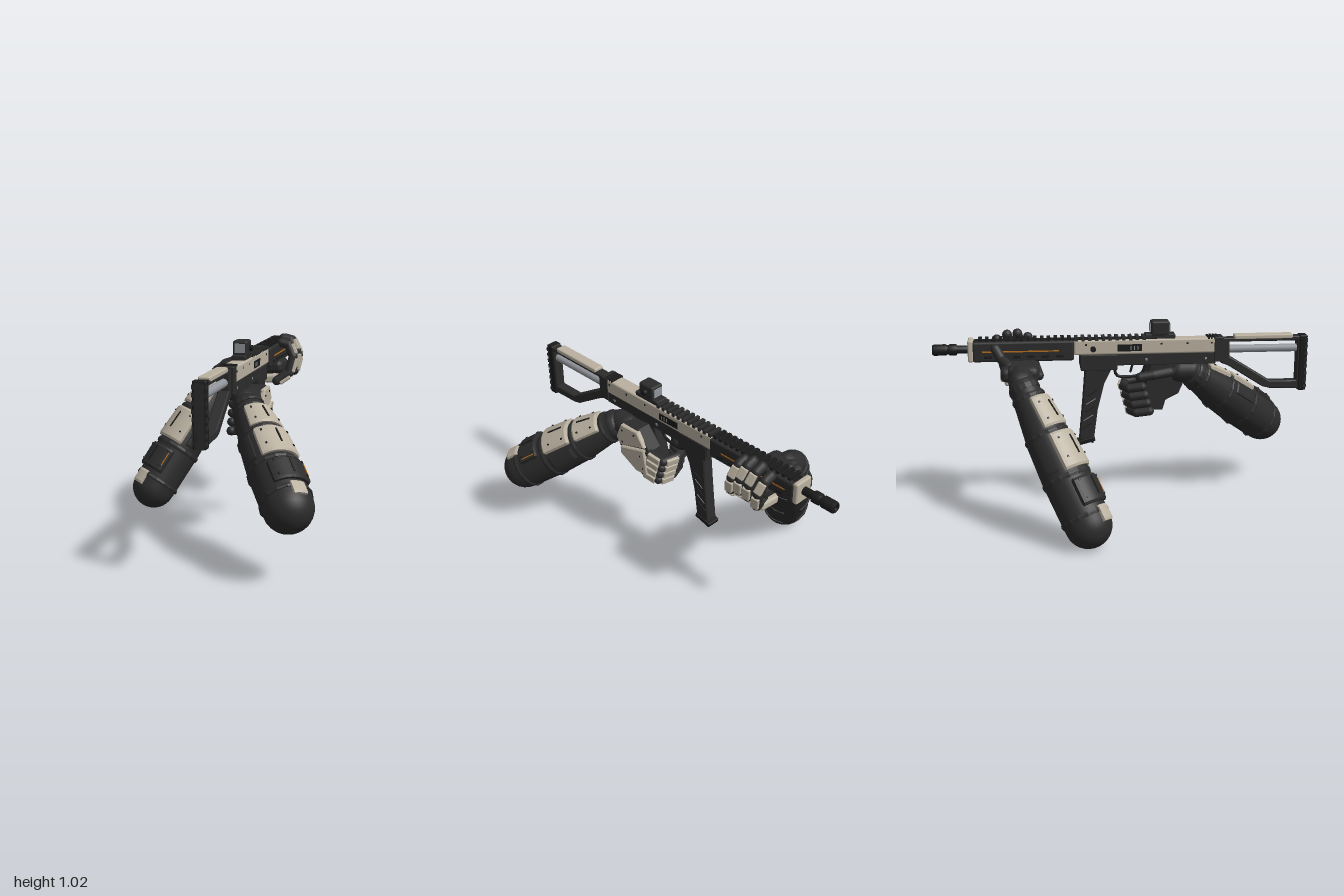
import * as THREE from 'three';
import { RoundedBoxGeometry } from 'three/addons/geometries/RoundedBoxGeometry.js';

const mat = (name, color, side = THREE.FrontSide) => {
  const m = new THREE.MeshStandardMaterial({ color, side });
  m.name = name;
  return m;
};
const V = (x, y, z) => new THREE.Vector3(x, y, z);

export function createModel() {
  const dark = mat('charcoal', 0x2c2c2c);
  const black = mat('black', 0x1b1b1b);
  const bone = mat('bone', 0xbab1a0);
  const steel = mat('steel', 0x92959b);
  const orange = mat('orange', 0xb8701c);
  const shell = mat('charcoal shell', 0x2c2c2c, THREE.DoubleSide);
  const root = new THREE.Group();
  root.name = 'armsWithWeapon';

  const add = (parent, name, geo, m, p) => {
    const mesh = new THREE.Mesh(geo, m);
    mesh.name = name;
    if (p) mesh.position.set(...p);
    parent.add(mesh);
    return mesh;
  };
  const box = (parent, name, m, size, p, r = 0) =>
    add(parent, name, r ? new RoundedBoxGeometry(...size, 2, r) : new THREE.BoxGeometry(...size), m, p);
  // box given by its ranges along z and y, centred on x
  const span = (parent, name, m, w, z0, z1, y0, y1, r = 0.005, x = 0) =>
    box(parent, name, m, [w, y1 - y0, z1 - z0], [x, (y0 + y1) / 2, (z0 + z1) / 2], r);
  // side outline in (z, y), extruded across x
  const outline = (parent, name, m, pts, w, x = 0, holes = []) => {
    const s = new THREE.Shape(pts.map((p) => new THREE.Vector2(...p)));
    for (const h of holes) s.holes.push(new THREE.Path(h.map((p) => new THREE.Vector2(...p))));
    const b = 0.005;
    const g = new THREE.ExtrudeGeometry(s, { depth: w - 2 * b, bevelSize: b, bevelOffset: -b, bevelThickness: b, bevelSegments: 1 });
    g.rotateY(-Math.PI / 2).translate(w / 2 - b, 0, 0);
    return add(parent, name, g, m, [x, 0, 0]);
  };
  // turns local Y along the axis and local Z towards the outward direction
  const aim = (obj, axis, out) => {
    const y = axis.clone().normalize();
    const z = out.clone().addScaledVector(y, -out.dot(y)).normalize();
    obj.quaternion.setFromRotationMatrix(new THREE.Matrix4().makeBasis(y.clone().cross(z), y, z));
    return obj;
  };

  // ---------- weapon ----------
  const gun = new THREE.Group();
  gun.name = 'weapon';
  gun.position.x = 0.122;
  root.add(gun);

  outline(gun, 'stockFrame', dark,
    [[1, 0.63], [1, 0.925], [0.95, 0.93], [0.53, 0.925], [0.53, 0.79], [0.57, 0.775], [0.76, 0.655], [0.8, 0.645], [0.945, 0.64]], 0.056, 0,
    [[[0.945, 0.905], [0.945, 0.685], [0.8, 0.685], [0.575, 0.825], [0.575, 0.905]]]);
  span(gun, 'buttPad', black, 0.066, 0.955, 1, 0.63, 0.935, 0.008);
  for (let i = 0; i < 8; i++) span(gun, 'buttRib', dark, 0.07, 0.985, 1, 0.645 + i * 0.036, 0.665 + i * 0.036, 0);
  span(gun, 'cheekRest', bone, 0.058, 0.6, 0.92, 0.915, 0.942, 0.008);
  add(gun, 'stockTube', new THREE.CylinderGeometry(0.021, 0.021, 0.4, 20).rotateX(Math.PI / 2), steel, [0, 0.862, 0.76]);
  span(gun, 'stockHinge', dark, 0.084, 0.49, 0.54, 0.8, 0.935);

  span(gun, 'receiver', bone, 0.08, -0.26, 0.515, 0.85, 0.93, 0.01);
  span(gun, 'lowerReceiver', dark, 0.072, -0.23, 0.5, 0.79, 0.855);
  span(gun, 'magazineWell', dark, 0.078, -0.225, -0.03, 0.765, 0.85);
  span(gun, 'railBase', black, 0.05, -0.78, 0.13, 0.925, 0.935, 0);
  for (let z = -0.76; z < 0.13; z += 0.036)
    span(gun, 'railRib', z < -0.26 ? black : dark, 0.076, z, z + 0.018, 0.925, 0.946, 0);
  for (let i = 0; i < 4; i++) span(gun, 'rearRib', black, 0.076, 0.455 + i * 0.016, 0.464 + i * 0.016, 0.925, 0.938, 0);
  for (const s of [-1, 1]) {
    span(gun, 'ejectionPort', black, 0.008, -0.03, 0.1, 0.868, 0.905, 0, s * 0.039);
    for (let i = 0; i < 3; i++) span(gun, 'portSlot', steel, 0.004, 0.04 + i * 0.018, 0.045 + i * 0.018, 0.876, 0.896, 0, s * 0.043);
    for (const z of [-0.2, 0.2, 0.34, 0.47]) span(gun, 'receiverPin', black, 0.005, z, z + 0.01, 0.9, 0.91, 0, s * 0.039);
    for (const z of [-0.18, 0.12, 0.44]) span(gun, 'framePin', steel, 0.005, z, z + 0.012, 0.815, 0.827, 0, s * 0.036);
    span(gun, 'handguardStripe', orange, 0.005, -0.74, -0.34, 0.877, 0.884, 0, s * 0.0525);
    for (let i = 0; i < 6; i++) span(gun, 'handguardVent', black, 0.006, -0.73 + i * 0.075, -0.69 + i * 0.075, 0.845, 0.858, 0, s * 0.0525);
  }
  span(gun, 'handguard', dark, 0.106, -0.79, -0.26, 0.825, 0.932, 0.012);
  span(gun, 'handguardCap', bone, 0.104, -0.815, -0.786, 0.825, 0.942, 0.01);
  const barrel = [[0, -0.8], [0.021, -0.8], [0.021, -0.87], [0.03, -0.875], [0.03, -0.91], [0.025, -0.915], [0.025, -0.925],
    [0.03, -0.93], [0.03, -0.99], [0.025, -1], [0.012, -1], [0.012, -0.96], [0, -0.96]].map(([r, z]) => new THREE.Vector2(r, -z));
  add(gun, 'barrel', new THREE.LatheGeometry(barrel, 20).rotateX(-Math.PI / 2), black, [0, 0.886, 0]);

  // sight, with lenses front and back
  span(gun, 'sightMount', dark, 0.07, 0.12, 0.28, 0.93, 0.955);
  span(gun, 'sightHousing', dark, 0.076, 0.15, 0.25, 0.945, 1.025, 0.012);
  for (const z of [0.148, 0.252]) box(gun, 'sightLens', steel, [0.054, 0.045, 0.005], [0, 0.988, z], 0);
  add(gun, 'sightKnob', new THREE.CylinderGeometry(0.014, 0.014, 0.02, 14).rotateZ(Math.PI / 2), black, [0.045, 0.985, 0.2]);
  add(gun, 'chargingHandle', new THREE.CylinderGeometry(0.009, 0.009, 0.04, 10).rotateZ(Math.PI / 2), black, [-0.052, 0.888, -0.16]);
  add(gun, 'chargingKnob', new THREE.CylinderGeometry(0.015, 0.015, 0.014, 12).rotateZ(Math.PI / 2), black, [-0.068, 0.888, -0.16]);

  outline(gun, 'pistolGrip', dark, [[0.15, 0.8], [0.29, 0.8], [0.27, 0.73], [0.215, 0.54], [0.09, 0.54], [0.13, 0.72]], 0.068);
  outline(gun, 'magazine', dark,
    [[-0.05, 0.79], [-0.2, 0.79], [-0.215, 0.6], [-0.235, 0.385], [-0.16, 0.36], [-0.135, 0.55], [-0.1, 0.69]], 0.064);
  const base = box(gun, 'magazineBase', black, [0.074, 0.025, 0.1], [0, 0.373, -0.2], 0.006);
  base.rotation.x = -0.25;
  for (const s of [-1, 1]) for (let i = 0; i < 5; i++) {
    const groove = box(gun, 'magazineGroove', i % 2 ? steel : black, [0.003, 0.004, 0.06], [s * 0.0325, 0.64 - i * 0.045, -0.165 - i * 0.007]);
    groove.rotation.x = -0.55;
  }
  const guard = new THREE.CatmullRomCurve3([V(0, 0.8, 0.13), V(0, 0.735, 0.1), V(0, 0.72, 0.03), V(0, 0.73, -0.03), V(0, 0.79, -0.045)]);
  add(gun, 'triggerGuard', new THREE.TubeGeometry(guard, 20, 0.008, 8), black);
  const trigger = box(gun, 'trigger', black, [0.014, 0.055, 0.012], [0, 0.77, 0.05], 0.004);
  trigger.rotation.x = 0.3;

  // ---------- forearms ----------
  const radii = [[0.08, 0.121], [0.35, 0.123], [0.6, 0.113], [0.85, 0.086], [1, 0.068]];
  const radiusAt = (t) => {
    if (t <= radii[0][0]) return radii[0][1];
    for (let i = 1; i < radii.length; i++) {
      const [a, ra] = radii[i - 1], [b, rb] = radii[i];
      if (t <= b) return ra + ((rb - ra) * (t - a)) / (b - a);
    }
    return 0.068;
  };
  const forearm = (name, elbow, wrist, out) => {
    const arm = aim(new THREE.Group(), wrist.clone().sub(elbow), out);
    arm.name = name;
    arm.position.copy(elbow);
    root.add(arm);
    const L = elbow.distanceTo(wrist);
    const pts = [];
    for (let i = 0; i <= 8; i++) {
      const a = (i / 8) * Math.PI / 2;
      pts.push(new THREE.Vector2(0.119 * Math.sin(a), -0.117 * Math.cos(a)));
    }
    for (let t = 0.05; t < 1.01; t += 0.05) pts.push(new THREE.Vector2(radiusAt(t), t * L));
    pts.push(new THREE.Vector2(0, L + 0.02));
    add(arm, 'sleeve', new THREE.LatheGeometry(pts, 40), dark);
    // curved plate whose rim sinks into the sleeve
    const plate = (label, m, t0, t1, arc, h, turn = 0) => {
      const p = [[t0, -0.012], [t0, h * 0.6], [t0 + 0.015, h], [t1 - 0.015, h], [t1, h * 0.6], [t1, -0.012]]
        .map(([t, d]) => new THREE.Vector2(radiusAt(t) + d, t * L));
      const g = new THREE.LatheGeometry(p, 16, turn - arc / 2, arc);
      const pos = g.attributes.position;
      for (let i = 0; i < pos.count; i++) {
        const col = Math.floor(i / p.length);
        if (col === 0 || col === 16) pos.setXYZ(i, pos.getX(i) * 0.84, pos.getY(i), pos.getZ(i) * 0.84);
      }
      const flat = g.toNonIndexed();
      flat.computeVertexNormals();
      add(arm, label, flat, m);
    };
    for (const [t0, t1] of [[0.035, 0.065], [0.3, 0.335], [0.605, 0.63], [0.87, 0.9], [0.93, 0.98]])
      plate('sleeveBand', shell, t0, t1, Math.PI * 1.999, 0.008);
    plate('elbowTab', bone, -0.03, 0.075, 0.6, 0.012);
    plate('lowerPlate', shell, 0.1, 0.28, 1.7, 0.018);
    plate('middlePlate', bone, 0.345, 0.595, 1.8, 0.017);
    plate('upperPlate', bone, 0.64, 0.86, 1.9, 0.015);
    for (const s of [-1, 1]) plate('sidePanel', shell, 0.36, 0.58, 0.6, 0.01, s * 1.35);
    // slots and screws laid on the plates
    for (const [t0, t1, h] of [[0.14, 0.26, 0.018], [0.42, 0.55, 0.017], [0.69, 0.81, 0.015]]) {
      const slot = box(arm, 'plateSlot', black, [0.008, (t1 - t0) * L, 0.008],
        [0, ((t0 + t1) / 2) * L, (radiusAt(t0) + radiusAt(t1)) / 2 + h]);
      slot.rotation.x = Math.atan2(radiusAt(t1) - radiusAt(t0), (t1 - t0) * L);
      for (const a of [-0.55, 0.55]) for (const t of [t0, t1]) {
        const r = radiusAt(t) + h;
        box(arm, 'plateScrew', black, [0.009, 0.009, 0.009], [r * Math.sin(a), t * L, r * Math.cos(a)]).rotation.y = a;
      }
    }
    const glow = box(arm, 'accentLine', orange, [0.005, 0.08, 0.006], [0.085, 0.2 * L, 0.112]);
    glow.rotation.y = 0.65;
  };
  const rightWrist = V(0.185, 0.735, 0.37), leftWrist = V(-0.135, 0.765, -0.54);
  forearm('leftForearm', V(0.49, 0.354, 0.85), rightWrist, V(0.45, 0.85, 0.3));
  forearm('rightForearm', V(-0.495, 0.12, -0.225), leftWrist, V(-0.5, 0.45, 0.75));

  // ---------- hands ----------
  const segment = (parent, name, m, a, b, r) => {
    const d = b.clone().sub(a);
    const mesh = add(parent, name, new THREE.CapsuleGeometry(r, d.length(), 5, 12), m);
    mesh.position.copy(a).addScaledVector(d, 0.5);
    mesh.quaternion.setFromUnitVectors(V(0, 1, 0), d.normalize());
  };
  // jointed finger with armour on the side away from the grip centre
  const finger = (parent, name, pts, r, centre, plates = pts.length - 1) => {
    for (let i = 0; i < pts.length - 1; i++) {
      const [a, b] = [pts[i], pts[i + 1]];
      segment(parent, name, dark, a, b, r);
      if (i >= plates) continue;
      const d = b.clone().sub(a), mid = a.clone().addScaledVector(d, 0.5);
      const out = mid.clone().sub(centre);
      out.addScaledVector(d, -out.dot(d) / d.lengthSq()).normalize();
      const p = box(parent, name + 'Plate', bone, [r * 1.6, d.length() * 0.85, r], mid.addScaledVector(out, r * 0.72).toArray(), 0.006);
      aim(p, d, out);
    }
  };

  // hand round the pistol grip
  const gripHand = new THREE.Group();
  gripHand.name = 'gripHand';
  root.add(gripHand);
  segment(gripHand, 'wrist', dark, rightWrist, V(0.185, 0.735, 0.32), 0.068);
  outline(gripHand, 'palm', dark, [[0.35, 0.7], [0.3, 0.79], [0.18, 0.8], [0.1, 0.7], [0.08, 0.57], [0.17, 0.54], [0.31, 0.61]], 0.085, 0.2);
  outline(gripHand, 'backPlate', bone, [[0.33, 0.7], [0.29, 0.79], [0.17, 0.795], [0.12, 0.72], [0.3, 0.66]], 0.03, 0.245);
  outline(gripHand, 'knucklePlate', bone, [[0.3, 0.65], [0.125, 0.705], [0.1, 0.56], [0.18, 0.55], [0.3, 0.61]], 0.03, 0.247);
  for (const [z, y] of [[0.28, 0.76], [0.19, 0.77], [0.28, 0.69], [0.15, 0.66], [0.13, 0.59]])
    box(gripHand, 'handScrew', black, [0.006, 0.008, 0.008], [0.261, y, z]);
  for (let i = 0; i < 4; i++) {
    const y = 0.685 - i * 0.045, z = i * 0.013;
    finger(gripHand, 'finger', [V(0.228, y, 0.11 + z), V(0.218, y - 0.015, 0.02 + z), V(0.13, y - 0.02, 0.005 + z),
      V(0.06, y - 0.015, 0.03 + z), V(0.05, y - 0.005, 0.1 + z)], 0.024, V(0.13, y, 0.1 + z), 2);
  }
  finger(gripHand, 'thumb', [V(0.17, 0.75, 0.3), V(0.08, 0.75, 0.25), V(0.06, 0.74, 0.16), V(0.06, 0.73, 0.09)], 0.026, V(0.13, 0.75, 0.18), 0);

  // hand under the handguard
  const supportHand = new THREE.Group();
  supportHand.name = 'supportHand';
  root.add(supportHand);
  segment(supportHand, 'wrist', dark, leftWrist, V(-0.09, 0.78, -0.54), 0.066);
  box(supportHand, 'palm', dark, [0.3, 0.075, 0.2], [0.05, 0.795, -0.545], 0.03).rotation.z = 0.05;
  box(supportHand, 'heel', dark, [0.15, 0.09, 0.17], [-0.035, 0.795, -0.53], 0.035).rotation.z = 0.12;
  box(supportHand, 'backPlate', bone, [0.14, 0.04, 0.17], [0.03, 0.745, -0.54], 0.012).rotation.z = 0.08;
  box(supportHand, 'knucklePlate', bone, [0.12, 0.045, 0.2], [0.155, 0.735, -0.55], 0.014).rotation.z = 0.1;
  box(supportHand, 'sidePlate', bone, [0.13, 0.04, 0.04], [0.02, 0.7, -0.5], 0.012);
  for (let i = 0; i < 4; i++) {
    const z = -0.465 - i * 0.055, k = [0, 0.02, 0.015, -0.01][i];
    const lean = -0.035;
    finger(supportHand, 'finger', [V(0.17, 0.725 + i * 0.012, z + 0.02), V(0.235, 0.77 + k, z), V(0.255, 0.86 + k, z + lean * 0.6),
      V(0.225, 0.925 + k, z + lean), V(0.185, 0.935 + k, z + lean)], 0.026, V(0.12, 0.86, z), 3);
  }
  finger(supportHand, 'thumb', [V(-0.02, 0.82, -0.6), V(0.03, 0.85, -0.64), V(0.055, 0.9, -0.67)], 0.026, V(0.12, 0.85, -0.64), 0);

  return root;
}
